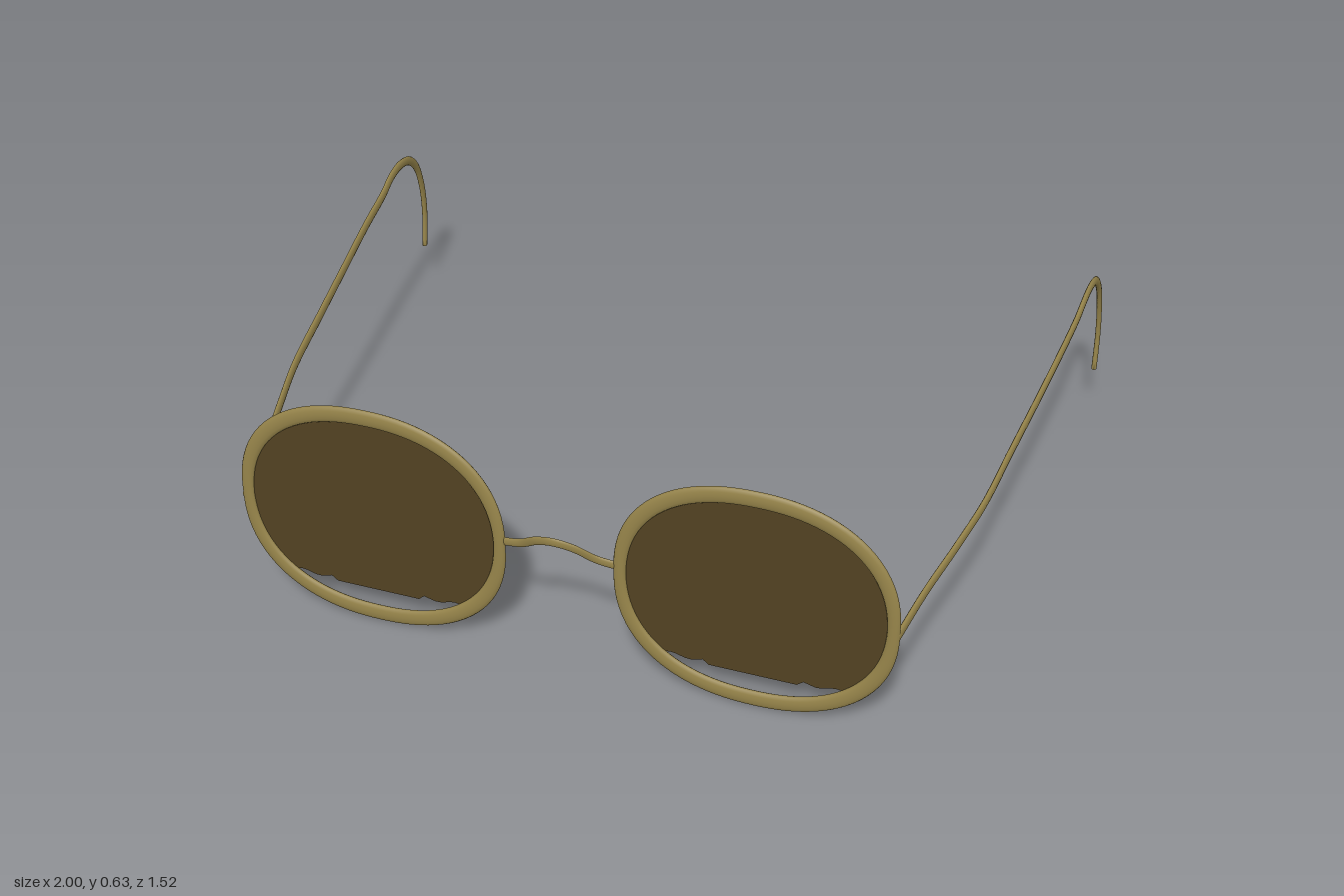
import * as THREE from 'three';

const V = (x, y, z) => new THREE.Vector3(x, y, z);
const RIM_Z = 0.728, CX = 0.477, CY = 0.318;

// Sweeps an elliptical section along a curve; thin axis is "side", wide axis lies across it.
function sweep(curve, steps, side, wide, thin, closed = false) {
  const sides = 12, pos = [], idx = [];
  const rings = closed ? steps : steps + 1;
  for (let i = 0; i < rings; i++) {
    const u = i / steps;
    const p = curve.getPointAt(u);
    const n = curve.getTangentAt(u).cross(side).normalize();
    for (let j = 0; j < sides; j++) {
      const a = (j / sides) * Math.PI * 2;
      const q = p.clone()
        .addScaledVector(n, Math.cos(a) * wide(u, p))
        .addScaledVector(side, Math.sin(a) * thin);
      pos.push(q.x, q.y, q.z);
    }
  }
  for (let i = 0; i < steps; i++) {
    const r = i * sides, s = ((i + 1) % rings) * sides;
    for (let j = 0; j < sides; j++) {
      const k = (j + 1) % sides;
      idx.push(r + j, s + j, r + k, s + j, s + k, r + k);
    }
  }
  // Flat end caps
  if (!closed) {
    const e = steps * sides;
    for (let j = 1; j < sides - 1; j++) {
      idx.push(0, j, j + 1, e, e + j + 1, e + j);
    }
  }
  const g = new THREE.BufferGeometry();
  g.setAttribute('position', new THREE.Float32BufferAttribute(pos, 3));
  g.setIndex(idx);
  g.computeVertexNormals();
  return g;
}

// Rounded, slightly squared oval outline
function oval(rx, ry, count) {
  const pts = [], e = 2 / 2.25;
  for (let i = 0; i < count; i++) {
    const a = (i / count) * Math.PI * 2, c = Math.cos(a), s = Math.sin(a);
    pts.push(V(
      CX + Math.sign(c) * Math.abs(c) ** e * rx,
      CY + Math.sign(s) * Math.abs(s) ** e * ry,
      RIM_Z));
  }
  return pts;
}

export function createModel() {
  const model = new THREE.Group();
  model.name = 'sunglasses';
  const metal = new THREE.MeshStandardMaterial({ color: 0x96844a });
  const tint = new THREE.MeshStandardMaterial({ color: 0x524222 });
  tint.side = THREE.DoubleSide;

  // Rim: wider at top and bottom than at the sides
  const rimCurve = new THREE.CatmullRomCurve3(oval(0.327, 0.29, 48), true);
  const rimGeo = sweep(rimCurve, 96, V(0, 0, 1),
    (u, p) => 0.015 + 0.008 * Math.abs((p.y - CY) / 0.29), 0.008, true);

  // Lens: flat sheet cut off above the lower rim, with a slightly uneven edge
  const lensShape = new THREE.Shape(oval(0.323, 0.28, 128).map((p) => {
    const dx = Math.abs(p.x - CX);
    const cut = dx < 0.11 ? 0.098 : 0.107 + 0.005 * Math.sin(dx * 70);
    return new THREE.Vector2(p.x, Math.max(p.y, cut));
  }));
  const lensGeo = new THREE.ShapeGeometry(lensShape);
  lensGeo.translate(0, 0, RIM_Z);

  // Temple arm: bows outward, rises to the ear, then hooks down
  const armCurve = new THREE.CatmullRomCurve3([
    V(0.813, 0.305, 0.73), V(0.838, 0.327, 0.58), V(0.872, 0.35, 0.42),
    V(0.901, 0.373, 0.27), V(0.921, 0.4, 0.08), V(0.942, 0.427, -0.12),
    V(0.96, 0.453, -0.3), V(0.972, 0.473, -0.45), V(0.976, 0.489, -0.505),
    V(0.979, 0.494, -0.57), V(0.982, 0.475, -0.64), V(0.985, 0.425, -0.695),
    V(0.988, 0.345, -0.73), V(0.991, 0.25, -0.745), V(0.993, 0.14, -0.736),
  ], false, 'centripetal');
  const armGeo = sweep(armCurve, 90, V(1, 0, 0),
    (u) => (u < 0.7 ? 0.015 : 0.015 - (u - 0.7) * 0.022), 0.007);

  // Left side as built, right side mirrored
  for (const [label, mirror] of [['left', 1], ['right', -1]]) {
    const half = new THREE.Group();
    half.name = label + 'Side';
    half.scale.x = mirror;
    for (const [name, geo, mat] of [
      ['Rim', rimGeo, metal], ['Lens', lensGeo, tint], ['Temple', armGeo, metal],
    ]) {
      const m = new THREE.Mesh(geo, mat);
      m.name = label + name;
      half.add(m);
    }
    model.add(half);
  }

  // Nose bridge: thin strip arching up and forward
  const bridgeCurve = new THREE.CatmullRomCurve3([
    V(-0.15, 0.333, 0.727), V(-0.095, 0.345, 0.734), V(-0.045, 0.376, 0.75),
    V(0, 0.388, 0.758),
    V(0.045, 0.376, 0.75), V(0.095, 0.345, 0.734), V(0.15, 0.333, 0.727),
  ]);
  const bridge = new THREE.Mesh(sweep(bridgeCurve, 40, V(0, 0, 1), () => 0.012, 0.004), metal);
  bridge.name = 'noseBridge';
  model.add(bridge);

  return model;
}
